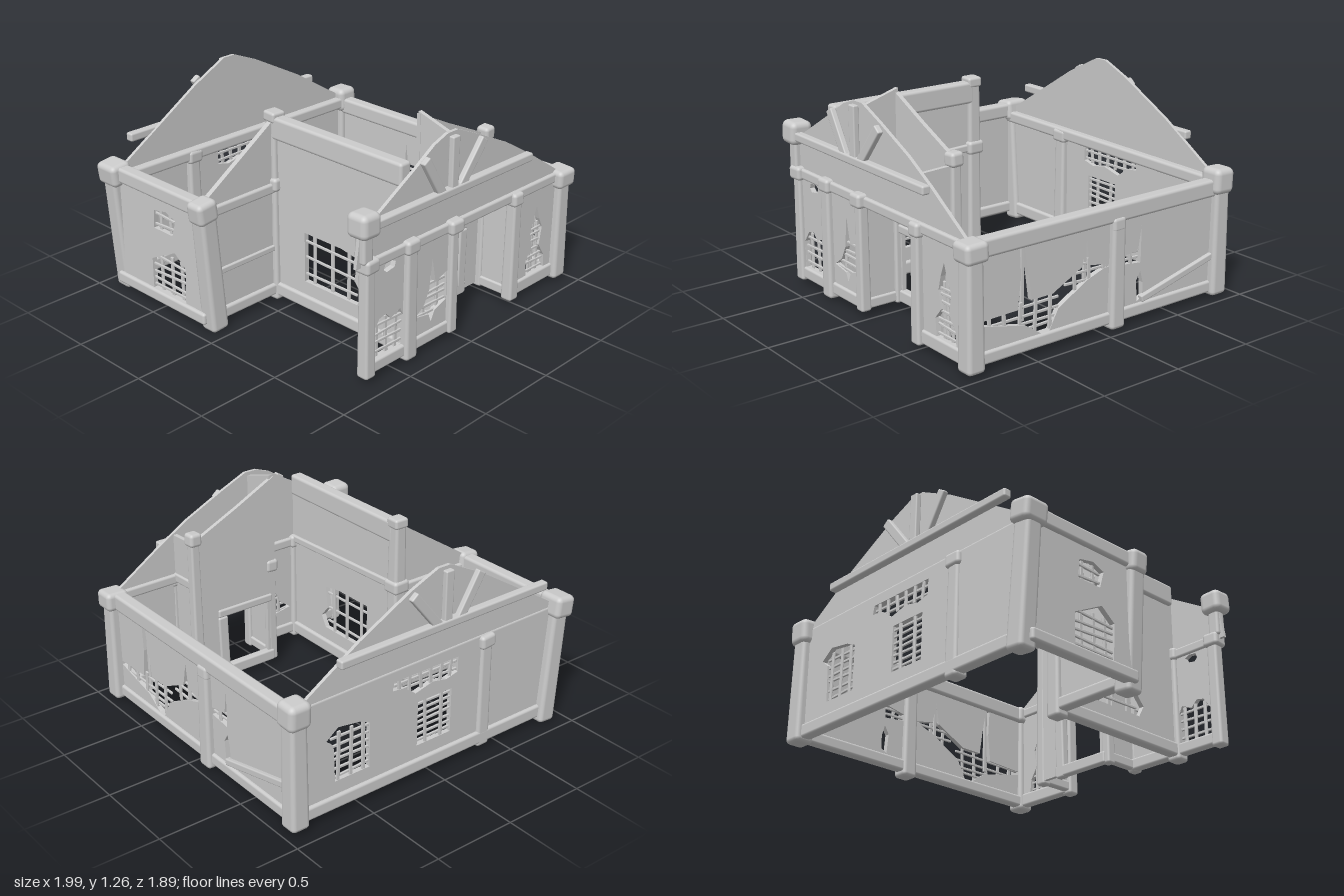
import * as THREE from 'three';
import { RoundedBoxGeometry } from 'three/addons/geometries/RoundedBoxGeometry.js';

const grey = new THREE.MeshStandardMaterial({ color: 0xcccccc });

let seed = 7;
const jitter = (a) => {
  seed = (seed * 16807) % 2147483647;
  return (seed / 2147483647 - 0.5) * 2 * a;
};

function mesh(parent, name, geometry) {
  const m = new THREE.Mesh(geometry, grey);
  m.name = name;
  parent.add(m);
  return m;
}

// Hewn timber from a to b: w wide, d deep, narrowing to `taper` at b
function timber(parent, name, a, b, w, d, taper = 1) {
  const A = new THREE.Vector3(...a), B = new THREE.Vector3(...b);
  const len = A.distanceTo(B);
  const geo = new RoundedBoxGeometry(w, len, d, 2, Math.min(w, d) * 0.22);
  const p = geo.attributes.position;
  for (let i = 0; i < p.count; i++) {
    const s = 1 + (taper - 1) * (p.getY(i) / len + 0.5);
    p.setX(i, p.getX(i) * s);
    p.setZ(i, p.getZ(i) * s);
  }
  const m = mesh(parent, name, geo);
  m.position.copy(A).add(B).multiplyScalar(0.5);
  m.quaternion.setFromUnitVectors(new THREE.Vector3(0, 1, 0), B.sub(A).normalize());
  return m;
}

// Upright post with a swollen block at its head
function post(parent, name, x, z, y0, y1, w, cap = w * 1.35, capH = 0.08) {
  timber(parent, name, [x, y0, z], [x, y1 - capH / 2, z], w, w, 0.88);
  const c = mesh(parent, name + 'Cap', new RoundedBoxGeometry(cap, capH, cap, 3, Math.min(cap, capH) * 0.25));
  c.position.set(x, y1 - capH / 2, z);
  c.rotation.set(jitter(0.05), jitter(0.06), jitter(0.05));
}

// Wall frame: local x runs along world x, or along world z when turned
function wall(parent, name, at, alongZ = false) {
  const g = new THREE.Group();
  g.name = name;
  if (alongZ) {
    g.position.x = at;
    g.rotation.y = -Math.PI / 2;
  } else g.position.z = at;
  parent.add(g);
  return g;
}

// Plaster sheet with broken-out holes
function plaster(g, outline, holes = [], t = 0.03) {
  const pts = (l) => l.map(([x, y]) => new THREE.Vector2(x, y));
  const shape = new THREE.Shape(pts(outline));
  shape.holes = holes.map((h) => new THREE.Path(pts(h)));
  const geo = new THREE.ExtrudeGeometry(shape, { depth: t, bevelEnabled: false });
  geo.translate(0, 0, -t / 2);
  return mesh(g, 'plaster', geo);
}

const rect = (x0, x1, y0, y1) => [[x0, y0], [x1, y0], [x1, y1], [x0, y1]];

// Crooked laths showing in a hole
function laths(g, x0, x1, y0, y1, rows, cols) {
  for (let i = 0; i < rows; i++) {
    const y = y0 + ((i + 0.5) / rows) * (y1 - y0);
    timber(g, 'lath', [x0 - 0.01, y + jitter(0.01), 0], [x1 + 0.01, y + jitter(0.01), 0], 0.014, 0.012);
  }
  for (let i = 0; i < cols; i++) {
    const x = x0 + ((i + 0.5) / cols) * (x1 - x0);
    timber(g, 'upright', [x + jitter(0.008), y0 - 0.01, -0.006], [x + jitter(0.008), y1 + 0.01, -0.006], 0.02, 0.012);
  }
}

// Gable collar beam with fanned struts; `off` is its distance from the sheet
function gableFrame(g, x0, x1, off) {
  timber(g, 'collarBeam', [x0, 0.9, off], [x1, 0.89, off], 0.05, 0.05);
  timber(g, 'kingStrut', [-0.07, 0.9, off], [-0.07, 1.2, off], 0.055, 0.035);
  timber(g, 'fanStrut', [-0.16, 0.9, off], [-0.3, 1.13, off], 0.055, 0.035);
  timber(g, 'fanStrut', [-0.01, 0.9, off], [0.17, 1.12, off], 0.055, 0.035);
}

export function createModel() {
  const house = new THREE.Group();
  house.name = 'ruinedHouse';

  // Front wall: a sheet on each side of the porch opening, gable above
  const front = wall(house, 'frontWall', 0.86);
  plaster(front, rect(-0.7, -0.04, 0.06, 0.68), [
    [[-0.65, 0.05 + 0.02], [-0.42, 0.07], [-0.42, 0.28], [-0.45, 0.34], [-0.52, 0.31], [-0.56, 0.35], [-0.61, 0.34], [-0.66, 0.27]],
    [[-0.58, 0.61], [-0.56, 0.59], [-0.5, 0.6], [-0.49, 0.63], [-0.52, 0.645], [-0.57, 0.64]],
    [[-0.33, 0.23], [-0.22, 0.21], [-0.2, 0.16], [-0.17, 0.22], [-0.08, 0.25], [-0.08, 0.42], [-0.17, 0.39], [-0.2, 0.54], [-0.22, 0.36], [-0.26, 0.28]],
  ]);
  plaster(front, rect(0.49, 0.93, 0.06, 0.68), [
    [[0.64, 0.11], [0.81, 0.11], [0.8, 0.2], [0.75, 0.28], [0.77, 0.39], [0.74, 0.45], [0.71, 0.54], [0.68, 0.46], [0.66, 0.38], [0.68, 0.28], [0.63, 0.22]],
  ]);
  laths(front, -0.65, -0.43, 0.08, 0.32, 5, 3);
  laths(front, -0.3, -0.09, 0.2, 0.4, 5, 2);
  laths(front, 0.65, 0.79, 0.12, 0.42, 7, 2);
  timber(front, 'crackUpright', [0.71, 0.1, -0.01], [0.71, 0.54, -0.01], 0.02, 0.015);
  plaster(front, [[-0.78, 0.68], [0.93, 0.68], [0.6, 0.9], [0.4, 1.02], [0.15, 1.14], [-0.02, 1.215], [-0.1, 1.215], [-0.2, 1.18], [-0.33, 1.1], [-0.64, 0.92], [-0.75, 0.88]], [], 0.02);
  gableFrame(front, -0.72, 0.59, 0.03);
  timber(front, 'topBeam', [-0.72, 0.68, 0], [0.93, 0.67, 0], 0.06, 0.06);
  timber(front, 'sillBeam', [-0.7, 0.08, 0], [-0.04, 0.08, 0], 0.07, 0.06);
  timber(front, 'sillBeam', [0.49, 0.08, 0], [0.92, 0.08, 0], 0.08, 0.06);

  // Recessed porch with its inner doorway
  const porch = wall(house, 'porchBackWall', 0.635);
  plaster(porch, [[-0.04, 0.06], [0, 0.06], [0, 0.47], [0.32, 0.47], [0.32, 0.06], [0.5, 0.06], [0.5, 0.98], [0.2, 1.12], [-0.06, 1.25], [-0.06, 0.06]], [], 0.025);
  timber(porch, 'doorLintel', [-0.03, 0.475, 0], [0.36, 0.475, 0], 0.05, 0.05);
  timber(porch, 'doorJamb', [0.32, 0.04, 0], [0.33, 0.45, 0], 0.065, 0.05);
  timber(porch, 'doorSill', [-0.04, 0.08, 0], [0.36, 0.08, 0], 0.07, 0.05);
  timber(porch, 'porchBeam', [-0.04, 0.69, 0.015], [0.5, 0.69, 0.015], 0.055, 0.055);
  const arch = new THREE.QuadraticBezierCurve3(new THREE.Vector3(0.27, 0.65, 0.04), new THREE.Vector3(0.33, 0.53, 0.04), new THREE.Vector3(0.48, 0.52, 0.04));
  mesh(porch, 'archBrace', new THREE.TubeGeometry(arch, 12, 0.025, 6));
  const tall = wall(house, 'porchTallSide', -0.045, true);
  plaster(tall, [[0.63, 0.06], [0.86, 0.06], [0.86, 1.19], [0.63, 1.26]], [], 0.025);
  const low = wall(house, 'porchLowSide', 0.49, true);
  plaster(low, [[0.63, 0.06], [0.86, 0.06], [0.86, 0.95], [0.63, 0.96]], [], 0.025);
  for (const [g, x] of [[tall, 0], [low, 0]]) {
    timber(g, 'sideBeam', [0.65, 0.69, x], [0.86, 0.68, x], 0.055, 0.05);
    timber(g, 'sideSill', [0.65, 0.08, x], [0.86, 0.08, x], 0.06, 0.05);
  }

  // Back wall with two barred windows, a broken patch and a gable
  const back = wall(house, 'backWall', -0.86);
  plaster(back, rect(-0.93, 0.91, 0.06, 0.69), [
    [[0.43, 0.2], [0.66, 0.2], [0.67, 0.42], [0.72, 0.46], [0.64, 0.52], [0.5, 0.5], [0.43, 0.47]],
    rect(-0.14, 0.1, 0.2, 0.47),
    [[-0.18, 0.56], [-0.1, 0.54], [0, 0.56], [0.12, 0.53], [0.2, 0.59], [0.28, 0.6], [0.27, 0.65], [-0.18, 0.65]],
  ]);
  laths(back, 0.43, 0.67, 0.2, 0.48, 6, 3);
  laths(back, -0.14, 0.1, 0.2, 0.47, 7, 2);
  laths(back, -0.17, 0.26, 0.56, 0.65, 2, 6);
  plaster(back, [[-0.9, 0.68], [0.88, 0.68], [0.88, 0.72], [0.5, 0.96], [0.16, 1.14], [-0.02, 1.215], [-0.1, 1.215], [-0.33, 1.1], [-0.88, 0.76]], [], 0.02);
  gableFrame(back, -0.8, 0.65, -0.03);
  timber(back, 'topBeam', [-0.93, 0.7, 0.02], [0.91, 0.68, 0.02], 0.07, 0.07);
  timber(back, 'sillBeam', [-0.93, 0.08, 0], [0.91, 0.08, 0], 0.08, 0.07);

  // Long side wall, badly cracked
  const long = wall(house, 'longSideWall', 0.905, true);
  plaster(long, rect(-0.87, 0.88, 0.06, 0.68), [
    [[0.82, 0.27], [0.82, 0.25], [0.52, 0.18], [0.4, 0.1], [0.36, 0.11], [0.3, 0.22], [0.1, 0.33], [-0.02, 0.37], [-0.28, 0.34], [-0.28, 0.55], [-0.26, 0.42], [-0.05, 0.38],
      [0.09, 0.41], [0.11, 0.55], [0.14, 0.41], [0.22, 0.37], [0.34, 0.31], [0.48, 0.31], [0.5, 0.45], [0.53, 0.62], [0.56, 0.62], [0.55, 0.45], [0.57, 0.28]],
    [[-0.26, 0.12], [-0.3, 0.14], [-0.3, 0.22], [-0.28, 0.29], [-0.25, 0.24]],
  ]);
  laths(long, 0.3, 0.8, 0.13, 0.3, 4, 5);
  laths(long, -0.26, 0.24, 0.3, 0.44, 3, 5);
  timber(long, 'crackUpright', [0.53, 0.2, 0.005], [0.53, 0.62, 0.005], 0.022, 0.015);
  timber(long, 'crackUpright', [0.11, 0.3, 0.005], [0.11, 0.54, 0.005], 0.022, 0.015);
  timber(long, 'brace', [-0.28, 0.13, -0.02], [-0.82, 0.26, -0.02], 0.04, 0.035);
  timber(long, 'topBeam', [-0.87, 0.66, 0], [0.88, 0.66, 0], 0.1, 0.08);
  timber(long, 'sillBeam', [-0.87, 0.075, 0], [0.88, 0.075, 0], 0.07, 0.065);

  // Short side wall
  const short = wall(house, 'shortSideWall', -0.92, true);
  plaster(short, rect(-0.87, -0.11, 0.06, 0.76), [
    [[-0.56, 0.11], [-0.28, 0.11], [-0.27, 0.33], [-0.36, 0.4], [-0.46, 0.35], [-0.56, 0.3]],
    [[-0.53, 0.5], [-0.37, 0.5], [-0.34, 0.6], [-0.42, 0.63], [-0.52, 0.61]],
  ]);
  laths(short, -0.55, -0.28, 0.11, 0.34, 5, 3);
  laths(short, -0.52, -0.37, 0.5, 0.61, 2, 2);
  timber(short, 'topBeam', [-0.87, 0.74, 0], [-0.11, 0.74, 0], 0.09, 0.08);
  timber(short, 'sillBeam', [-0.87, 0.08, 0], [-0.11, 0.08, 0], 0.07, 0.07);

  // Inner corner: half-gabled return wall and the high wall facing the yard
  const ret = wall(house, 'returnWall', -0.125);
  plaster(ret, [[-0.93, 0.06], [-0.385, 0.06], [-0.385, 1.12], [-0.93, 0.77]]);
  timber(ret, 'topBeam', [-0.9, 0.71, 0], [-0.4, 0.71, 0], 0.06, 0.07);
  timber(ret, 'midRail', [-0.9, 0.34, 0.01], [-0.4, 0.34, 0.01], 0.035, 0.04);
  timber(ret, 'sillBeam', [-0.93, 0.08, 0], [-0.385, 0.08, 0], 0.07, 0.07);
  const yard = wall(house, 'yardWall', -0.385, true);
  plaster(yard, rect(-0.12, 0.86, 0.06, 1.05), [
    [[0.12, 0.2], [0.52, 0.2], [0.56, 0.27], [0.5, 0.34], [0.52, 0.48], [0.4, 0.5], [0.12, 0.5]],
  ]);
  laths(yard, 0.12, 0.5, 0.2, 0.49, 3, 3);
  timber(yard, 'topBeam', [-0.12, 1.065, 0], [0.84, 1.065, 0], 0.13, 0.08);
  timber(yard, 'midBeam', [-0.12, 0.73, -0.01], [0.86, 0.7, -0.01], 0.045, 0.045);
  timber(yard, 'sillBeam', [-0.12, 0.08, 0], [0.86, 0.08, 0], 0.08, 0.07);

  // Corner posts: the two leaning ones widen at the foot
  post(house, 'frontCornerPost', 0.92, 0.865, 0.02, 0.715, 0.11, 0.14, 0.11);
  post(house, 'backCornerPost', 0.91, -0.865, 0.02, 0.77, 0.115, 0.14, 0.15);
  for (const z of [-0.87, -0.11]) {
    timber(house, 'leaningPost', [-0.87, 0.005, z], [-0.925, 0.72, z], 0.115, 0.11, 0.95);
    const cap = mesh(house, 'leaningPostCap', new RoundedBoxGeometry(0.135, 0.13, z < -0.5 ? 0.16 : 0.12, 3, 0.03));
    cap.position.set(-0.93, 0.735, z);
    cap.rotation.z = 0.12;
  }

  // Intermediate posts
  post(house, 'wingPost', -0.695, 0.865, 0.03, 0.72, 0.075, 0.1);
  post(house, 'wingPostTop', -0.72, 0.865, 0.7, 0.98, 0.075, 0.135, 0.135);
  post(house, 'frontPost', -0.385, 0.865, 0.015, 0.72, 0.09, 0.1);
  post(house, 'yardCornerPost', -0.385, -0.125, 0.01, 0.77, 0.09, 0.11);
  post(house, 'yardCornerPostTop', -0.385, -0.125, 0.74, 1.155, 0.085, 0.09, 0.06);
  post(house, 'porchPost', -0.045, 0.875, 0.04, 0.72, 0.065, 0.1);
  post(house, 'porchPost', 0.49, 0.875, 0.03, 0.7, 0.075, 0.085);
  post(house, 'porchInnerPost', -0.04, 0.65, 0.04, 0.72, 0.06, 0.08);
  post(house, 'porchInnerPost', 0.495, 0.65, 0.04, 1.03, 0.065, 0.08);
  post(house, 'backPost', -0.385, -0.85, 0.02, 0.72, 0.09, 0.105);
  post(house, 'longSidePost', 0.91, -0.095, 0.01, 0.64, 0.1, 0.09);

  return house;
}
